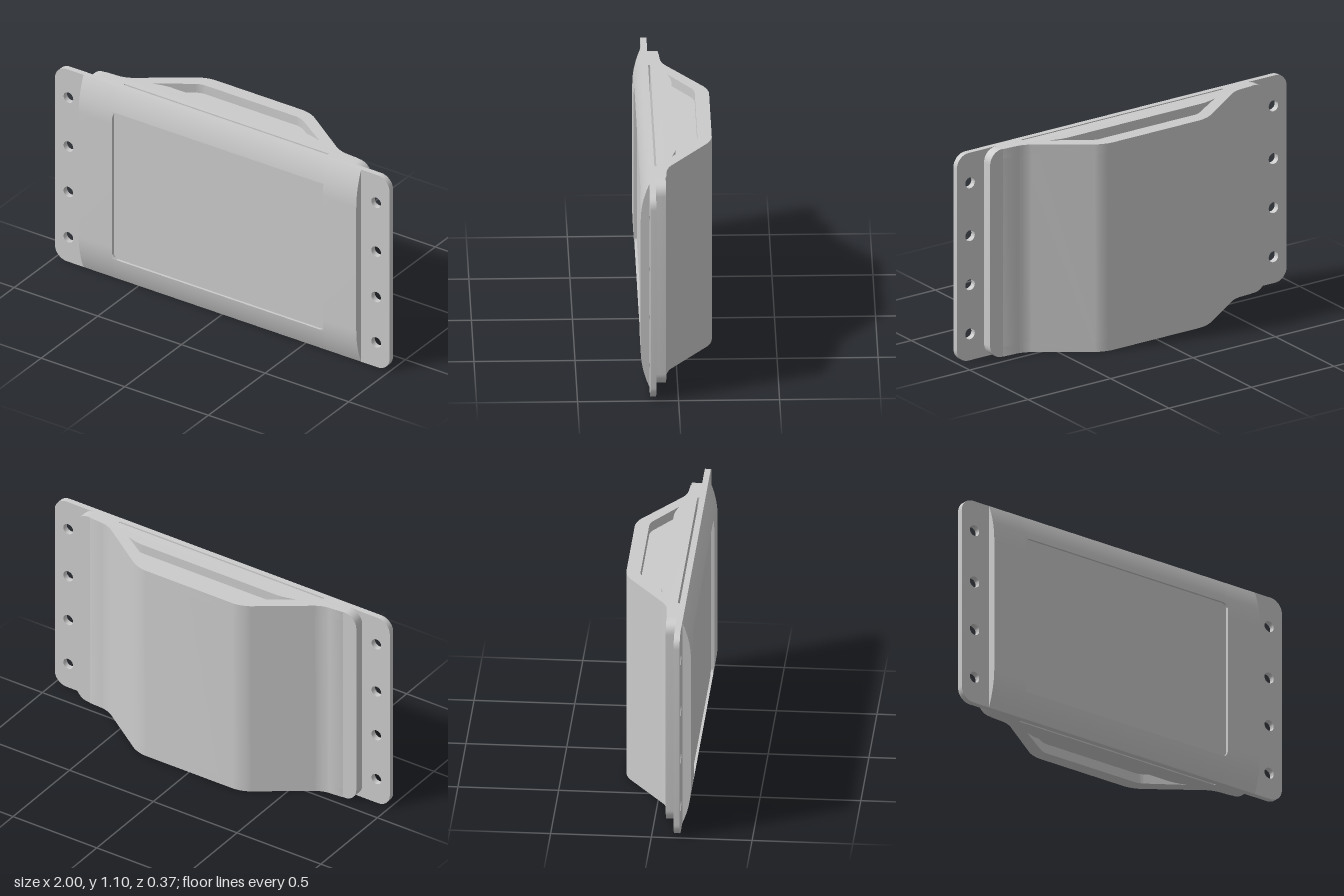
import * as THREE from 'three';
import { toCreasedNormals } from 'three/addons/utils/BufferGeometryUtils.js';

const H = 1.1;
const material = new THREE.MeshStandardMaterial({ color: 0xcccccc });

// Closed outline from [x, y, radius] corners, each corner softened by its radius
function outline(corners, Type = THREE.Shape) {
  const path = new Type();
  const n = corners.length;
  corners.forEach(([x, y, r = 0], i) => {
    const p = new THREE.Vector2(x, y);
    const toward = ([a, b]) => new THREE.Vector2(a, b).sub(p).setLength(r).add(p);
    const start = toward(corners[(i + n - 1) % n]);
    const end = toward(corners[(i + 1) % n]);
    if (i === 0) path.moveTo(start.x, start.y);
    else path.lineTo(start.x, start.y);
    if (r > 0) {
      // cubic handles approximate a circular fillet
      const c1 = start.clone().lerp(p, 0.55), c2 = end.clone().lerp(p, 0.55);
      path.bezierCurveTo(c1.x, c1.y, c2.x, c2.y, end.x, end.y);
    }
  });
  path.closePath();
  return path;
}

const extrude = (shape, depth) =>
  new THREE.ExtrudeGeometry(shape, { depth, bevelEnabled: false, curveSegments: 10 });

export function createModel() {
  const model = new THREE.Group();
  const add = (name, geometry) => {
    const mesh = new THREE.Mesh(toCreasedNormals(geometry, 0.5), material);
    mesh.name = name;
    model.add(mesh);
    return mesh;
  };

  // Mounting plate with a row of bolt holes at each end
  const plate = outline([[-1, 0, 0.07], [1, 0, 0.07], [1, H, 0.07], [-1, H, 0.07]]);
  for (const x of [-0.92, 0.92]) {
    for (const y of [0.14, 0.4, 0.66, 0.94]) {
      plate.holes.push(new THREE.Path().absarc(x, y, 0.029, 0, Math.PI * 2, true));
    }
  }
  add('mountingPlate', extrude(plate, 0.03).translate(0, 0, 0.11));

  // Front cover: domed profile along x, with a recessed middle
  const dome = (y) => {
    const t = Math.max(0, 0.2 - y, y - (H - 0.2)) / 0.2;
    return 0.183 - 0.043 * t * t;
  };
  const floorZ = 0.165, low = 0.13, high = 0.97;
  const coverSection = (name, x0, x1, recessed) => {
    const points = [];
    const sweep = (from, to) => {
      for (let i = 0; i <= 12; i++) {
        const y = from + (to - from) * i / 12;
        points.push(new THREE.Vector2(-dome(y), y));
      }
    };
    points.push(new THREE.Vector2(-0.138, H), new THREE.Vector2(-0.138, 0));
    if (recessed) {
      sweep(0, low);
      points.push(new THREE.Vector2(-floorZ, low), new THREE.Vector2(-floorZ, high));
      sweep(high, H);
    } else {
      sweep(0, 0.2);
      sweep(0.9, H);
    }
    add(name, extrude(new THREE.Shape(points), x1 - x0).rotateY(Math.PI / 2).translate(x0, 0, 0));
  };
  coverSection('coverRightEnd', -0.83, -0.63, false);
  coverSection('coverMiddle', -0.63, 0.63, true);
  coverSection('coverLeftEnd', 0.63, 0.83, false);

  // Small fillets in the corners of the recess
  for (const sx of [-1, 1]) {
    for (const [y, sy] of [[low, 1], [high, -1]]) {
      const x = sx * 0.63, r = 0.022;
      const fillet = new THREE.Shape();
      fillet.moveTo(x, y);
      fillet.lineTo(x - sx * r, y);
      fillet.quadraticCurveTo(x - sx * r * 0.3, y + sy * r * 0.3, x, y + sy * r);
      fillet.closePath();
      add('recessFillet', extrude(fillet, 0.012).translate(0, 0, floorZ));
    }
  }

  // Flange of the rear bracket, with pads that touch the plate at both ends
  const w = 0.835;
  const flange = outline([[-w, 0, 0.07], [w, 0, 0.07], [w, H, 0.07], [-w, H, 0.07]]);
  add('bracketFlange', extrude(flange, 0.042).translate(0, 0, 0.058));
  const pads = {
    leftPad: [[0.61, 0], [w, 0, 0.07], [w, H, 0.07], [0.61, H]],
    rightPad: [[-w, 0, 0.07], [-0.61, 0], [-0.61, H], [-w, H, 0.07]],
  };
  for (const [name, corners] of Object.entries(pads)) {
    add(name, extrude(outline(corners), 0.01).translate(0, 0, 0.1));
  }

  // Hump of the bracket: profile in x and -z, with a pocket in its top and bottom
  const humpCorners = [
    [-0.76, -0.06], [0.76, -0.06], [0.75, -0.055], [0.64, -0.048, 0.04],
    [0.31, 0.183, 0.05], [-0.31, 0.183, 0.05], [-0.64, -0.048, 0.04], [-0.75, -0.055],
  ];
  const pocketCorners = [
    [-0.5, -0.02], [-0.43, 0, 0.03], [0.43, 0, 0.03], [0.5, -0.02],
    [0.3, 0.112, 0.03], [-0.3, 0.112, 0.03],
  ];
  const pocketDepth = 0.05;
  const humpSection = (name, y0, y1, open) => {
    const shape = outline(humpCorners);
    if (open) shape.holes.push(outline(pocketCorners, THREE.Path));
    add(name, extrude(shape, y1 - y0).rotateX(-Math.PI / 2).translate(0, y0, 0));
  };
  humpSection('humpBottomRim', 0, pocketDepth, true);
  humpSection('humpCore', pocketDepth, H - pocketDepth, false);
  humpSection('humpTopRim', H - pocketDepth, H, true);

  return model;
}
